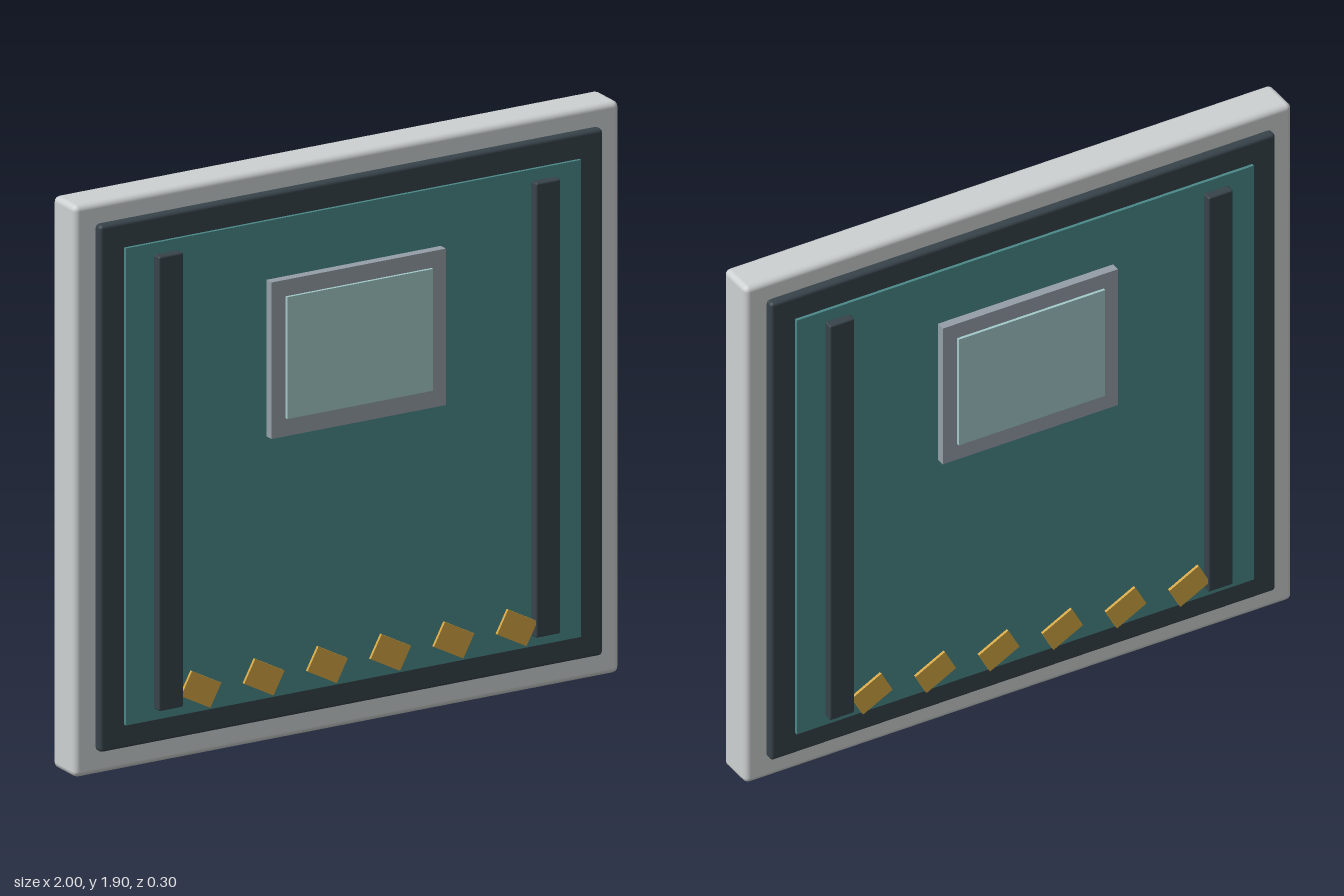
import * as THREE from 'three';
import { RoundedBoxGeometry } from 'three/addons/geometries/RoundedBoxGeometry.js';

const mat = (name, color) => {
  const m = new THREE.MeshStandardMaterial({ color });
  m.name = name;
  return m;
};

export function createModel() {
  const group = new THREE.Group();
  group.name = 'doorPanel';
  const paleGrey = mat('paleGrey', 0xcdd1d1);
  const charcoal = mat('charcoal', 0x37434a);
  const teal = mat('teal', 0x4a8888);
  const steel = mat('steel', 0x959fa8);
  const glass = mat('glass', 0xa3cac9);
  const amber = mat('amber', 0xd3a643);

  // Box centred at x, spanning y0..y1 and z0..z1, with optional rounded edges
  const box = (parent, name, material, w, x, y0, y1, z0, z1, r = 0) => {
    const h = y1 - y0, d = z1 - z0;
    const geo = r ? new RoundedBoxGeometry(w, h, d, 2, r) : new THREE.BoxGeometry(w, h, d);
    const mesh = new THREE.Mesh(geo, material);
    mesh.name = name;
    mesh.position.set(x, (y0 + y1) / 2, (z0 + z1) / 2);
    parent.add(mesh);
    return mesh;
  };

  // Main slab and the dark border layer running through it
  box(group, 'slab', paleGrey, 2, 0, 0, 1.9, -0.068, 0.068, 0.02);
  box(group, 'darkBorder', charcoal, 1.845, 0, 0.08, 1.83, -0.096, 0.096, 0.012);

  // Both faces carry the same fittings, mirrored in z
  for (const s of [1, -1]) {
    const face = new THREE.Group();
    face.name = s > 0 ? 'frontFace' : 'backFace';
    group.add(face);
    const part = (name, m, w, x, y0, y1, a, b, r) =>
      box(face, name, m, w, x, y0, y1, Math.min(a * s, b * s), Math.max(a * s, b * s), r);

    part('inset', teal, 1.67, 0, 0.16, 1.745, 0.09, 0.107);
    part('windowFrame', steel, 0.64, 0, 1.03, 1.55, 0.1, 0.138);
    part('windowPane', glass, 0.535, 0, 1.09, 1.495, 0.13, 0.148);
    for (const x of [-0.692, 0.692])
      part('rail', charcoal, 0.09, x, 0.2, 1.71, 0.112, 0.146, 0.006);

    // Row of tilted warning chips
    for (let i = 0; i < 6; i++) {
      const chip = part('warningChip', amber, 0.122, (i - 2.5) * 0.232, 0.202, 0.288, 0.132, 0.142);
      chip.rotation.z = -0.49;
    }
  }
  return group;
}
